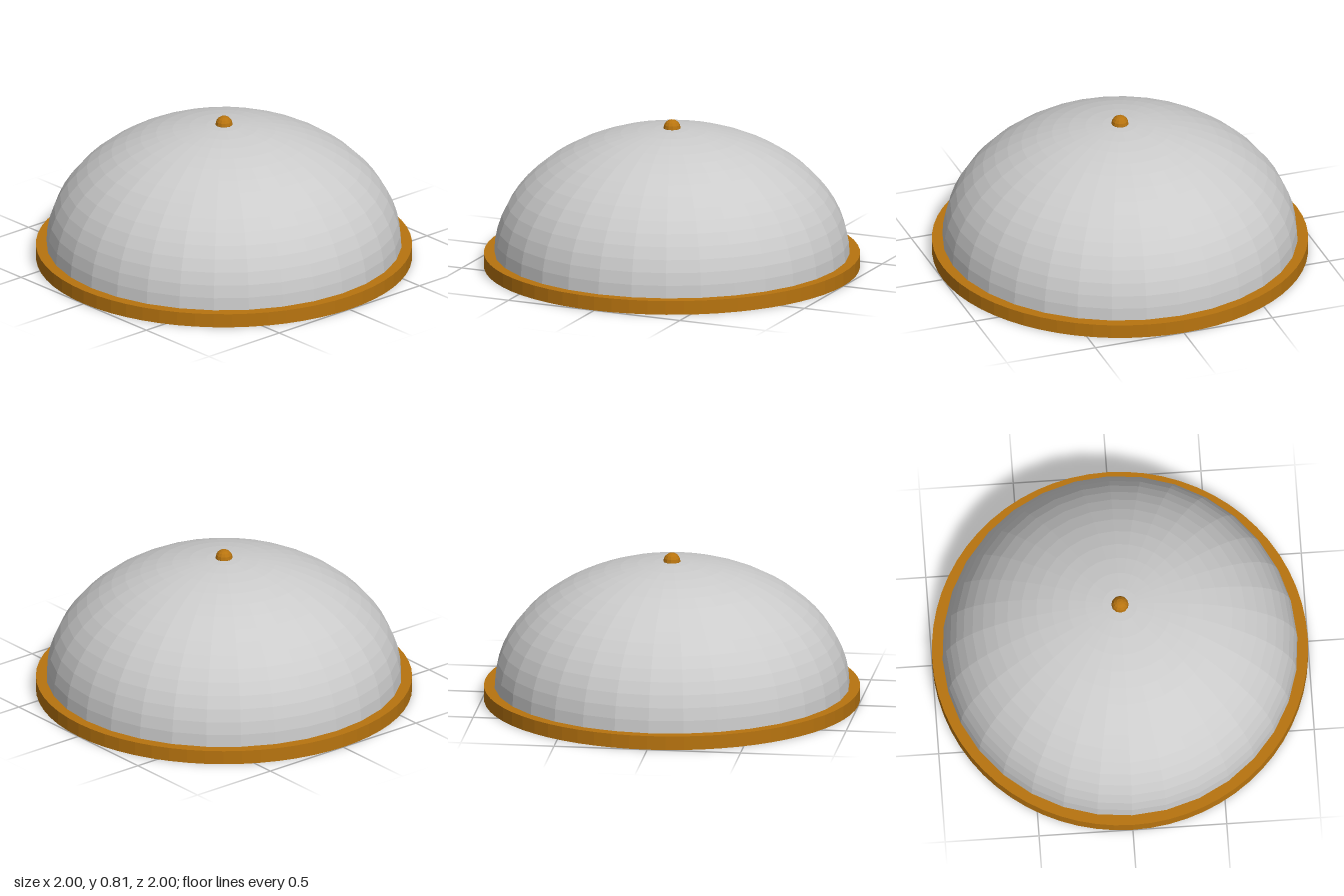
import * as THREE from 'three';

const BASE_HEIGHT = 0.075;
const DOME_RADIUS = 0.945;
const DOME_HEIGHT = 0.685;

export function createModel() {
  const group = new THREE.Group();
  const brass = new THREE.MeshStandardMaterial({ color: 0xb8740f, flatShading: true });
  const grey = new THREE.MeshStandardMaterial({ color: 0xcccccc, flatShading: true, side: THREE.DoubleSide });

  const add = (name, geometry, material, y) => {
    const mesh = new THREE.Mesh(geometry, material);
    mesh.name = name;
    mesh.position.y = y;
    group.add(mesh);
    return mesh;
  };

  // Solid round base plate
  add('base', new THREE.CylinderGeometry(1, 1, BASE_HEIGHT, 64), brass, BASE_HEIGHT / 2);

  // Faceted, slightly flattened half-sphere
  const dome = new THREE.SphereGeometry(DOME_RADIUS, 32, 16, 0, Math.PI * 2, 0, Math.PI / 2);
  dome.scale(1, DOME_HEIGHT / DOME_RADIUS, 1);
  add('dome', dome, grey, BASE_HEIGHT);

  // Small knob, half sunk into the top of the dome
  add('knob', new THREE.SphereGeometry(0.046, 12, 8), brass, BASE_HEIGHT + DOME_HEIGHT);

  return group;
}
